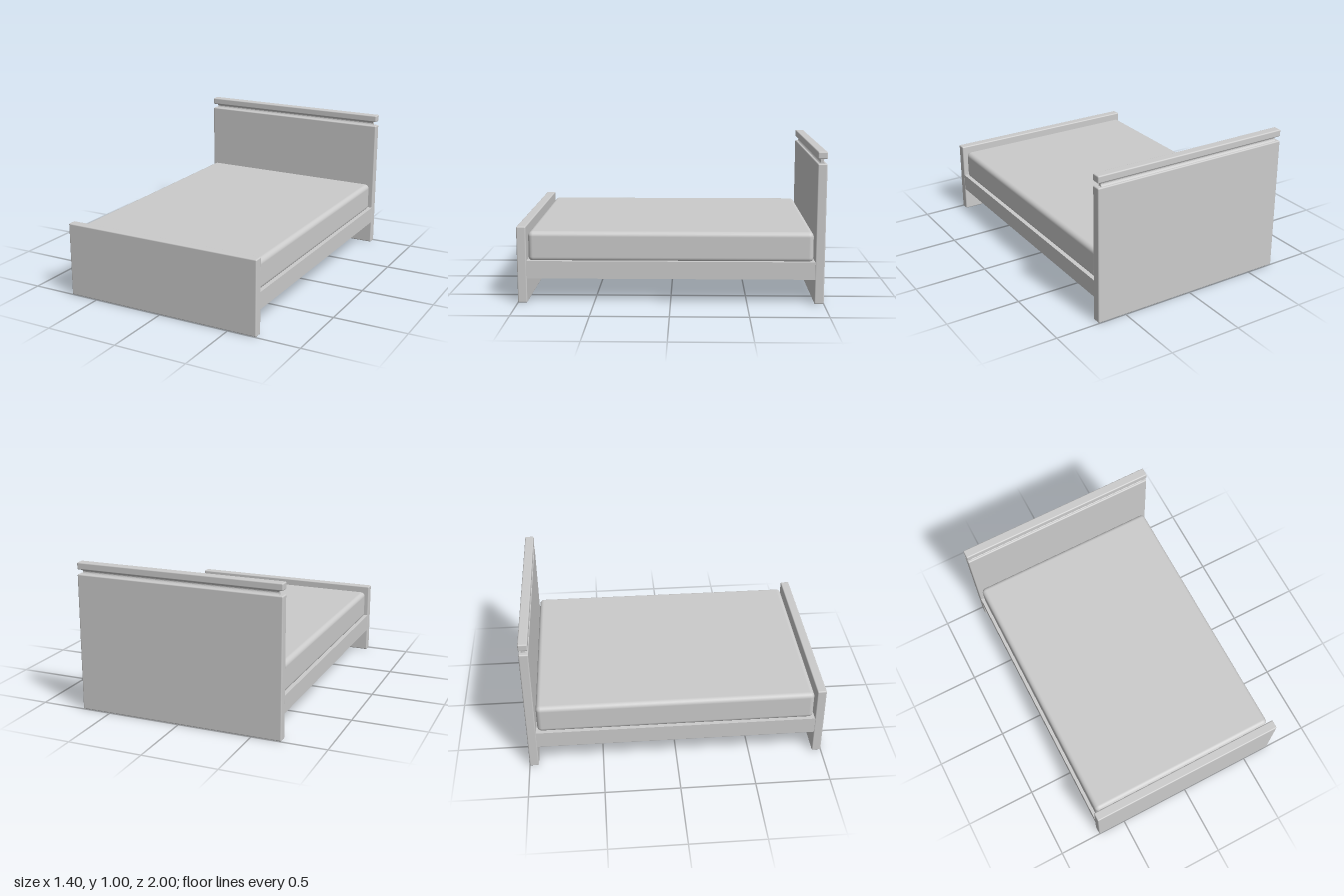
import * as THREE from 'three';
import { RoundedBoxGeometry } from 'three/addons/geometries/RoundedBoxGeometry.js';

const material = new THREE.MeshStandardMaterial({ color: 0xcccccc });

export function createModel() {
  const bed = new THREE.Group();
  bed.name = 'bed';

  const add = (name, geometry) => {
    const mesh = new THREE.Mesh(geometry, material);
    mesh.name = name;
    bed.add(mesh);
    return mesh;
  };

  // Panel with softened edges, spanning y0..y1 and z0..z1, centred on x
  const panel = (name, width, y0, y1, z0, z1, radius, segments = 3) => {
    const mesh = add(name, new RoundedBoxGeometry(width, y1 - y0, z1 - z0, segments, radius));
    mesh.position.set(0, (y0 + y1) / 2, (z0 + z1) / 2);
  };

  panel('headboard', 1.4, 0, 0.922, -1, -0.938, 0.008);
  panel('headboardCap', 1.4, 0.952, 1, -1, -0.938, 0.008);
  panel('footboard', 1.4, 0, 0.508, 0.938, 1, 0.008);
  panel('mattress', 1.355, 0.27, 0.47, -0.93, 0.93, 0.032, 5);

  // Bed base with side rails, running between the two boards
  const base = add('bedBase', new THREE.BoxGeometry(1.396, 0.116, 1.9));
  base.position.y = 0.222;

  // Recessed neck under the cap: waisted cross-section swept along x
  const profile = new THREE.Shape();
  profile.moveTo(-0.02, -0.017);
  profile.lineTo(0.02, -0.017);
  profile.quadraticCurveTo(-0.004, 0, 0.02, 0.017);
  profile.lineTo(-0.02, 0.017);
  profile.quadraticCurveTo(0.004, 0, -0.02, -0.017);
  const neckGeometry = new THREE.ExtrudeGeometry(profile, {
    depth: 1.34, bevelEnabled: false, curveSegments: 8,
  });
  neckGeometry.translate(0, 0, -0.67).rotateY(Math.PI / 2);
  add('headboardNeck', neckGeometry).position.set(0, 0.937, -0.969);

  return bed;
}
